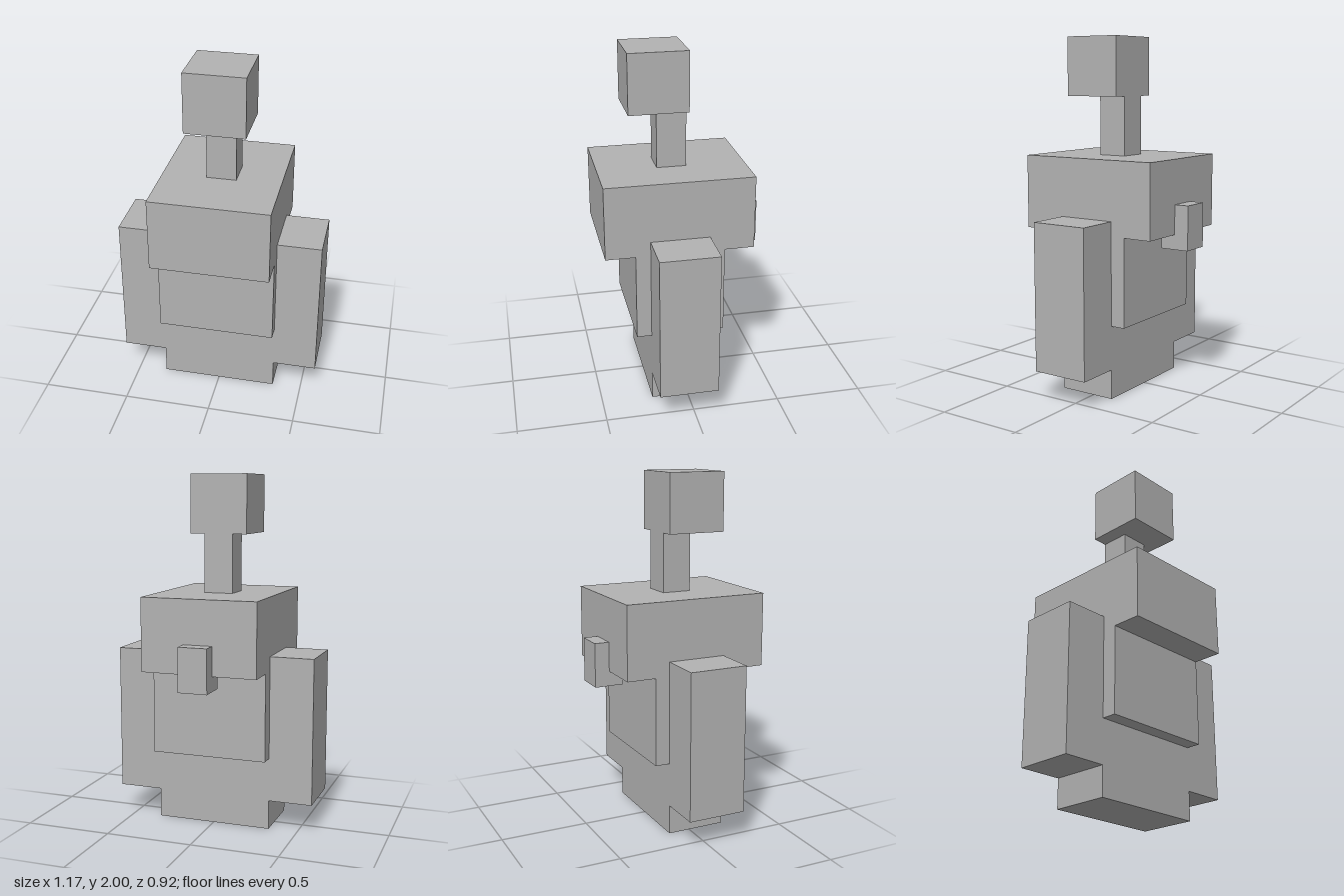
import * as THREE from 'three';

// All parts sit on a grid of 1/12 unit
const U = 1 / 12;

export function createModel() {
  const model = new THREE.Group();
  model.name = 'blockFigure';
  const grey = new THREE.MeshStandardMaterial({ color: 0xb2b2b2 });
  grey.name = 'grey';

  // Box between two corners, in grid units
  function box(name, [x0, y0, z0], [x1, y1, z1]) {
    const geometry = new THREE.BoxGeometry((x1 - x0) * U, (y1 - y0) * U, (z1 - z0) * U);
    const mesh = new THREE.Mesh(geometry, grey);
    mesh.name = name;
    mesh.position.set((x0 + x1) / 2 * U, (y0 + y1) / 2 * U, (z0 + z1) / 2 * U);
    model.add(mesh);
    return mesh;
  }

  // Head on a narrow neck
  box('head', [-2, 20, -0.5], [2, 24, 3.5]);
  box('neck', [-1, 16, -0.5], [1, 20, 1.5]);

  // Overhanging shoulders above the torso
  box('shoulders', [-4, 11, -4.5], [4, 16, 5.5]);
  box('torso', [-4, 5, -2.5], [4, 11, 3.5]);

  // Small tail block behind
  box('tail', [-1, 10, -5.5], [1, 13, -3.5]);

  // Mirrored arms and legs
  for (const [side, s] of [['left', 1], ['right', -1]]) {
    const span = (a, b) => (s > 0 ? [a, b] : [-b, -a]);
    const [a0, a1] = span(4, 7);
    box(side + 'Arm', [a0, 2, -1.5], [a1, 12, 2.5]);
    const [l0, l1] = span(0, 4);
    box(side + 'Leg', [l0, 0, -1.5], [l1, 5, 2.5]);
  }

  return model;
}
